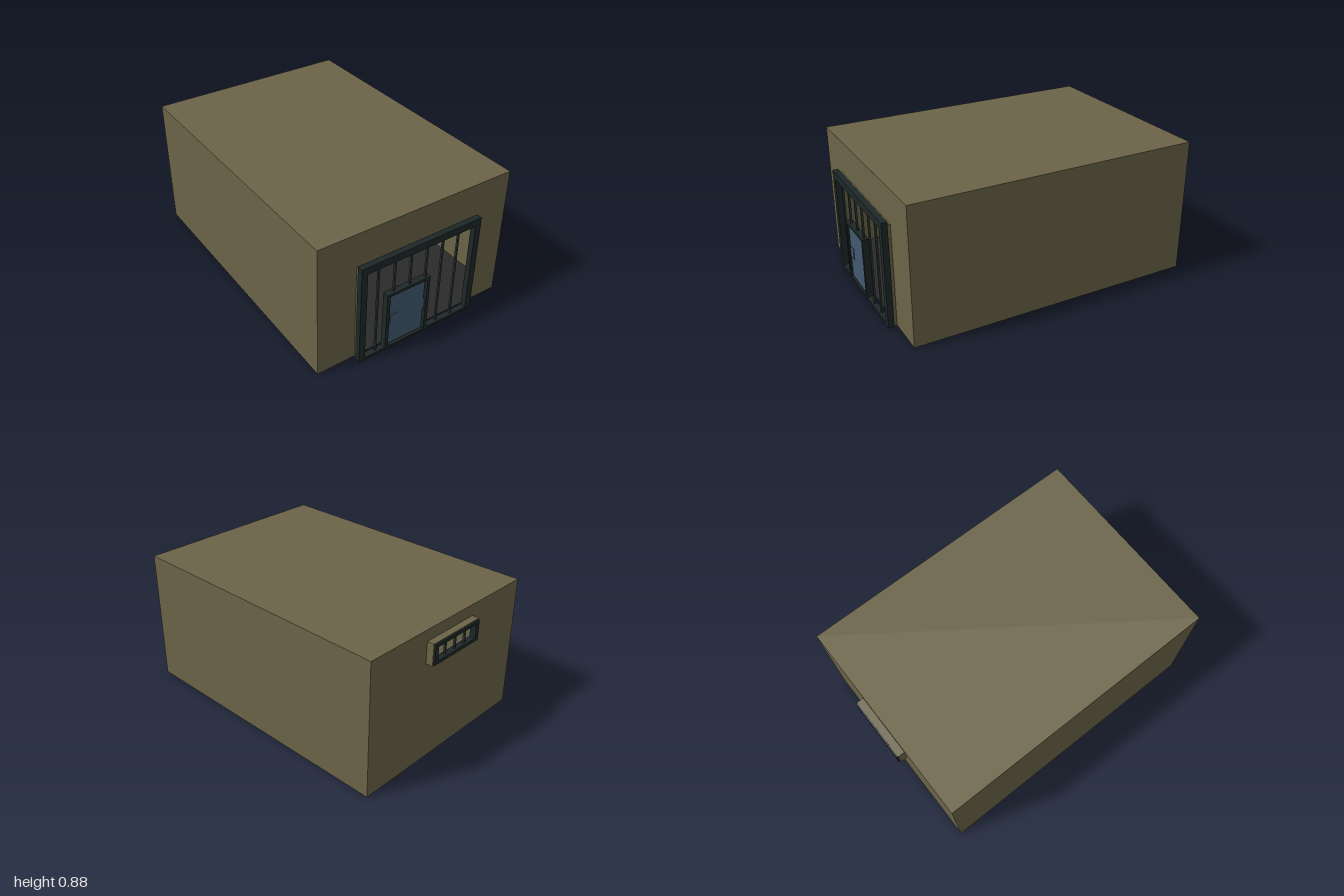
import * as THREE from 'three';

const mat = (color) => new THREE.MeshStandardMaterial({ color, side: THREE.DoubleSide });
const wallMat = mat(0x6b6448);
const floorMat = mat(0x2a2a2a);
const ironMat = mat(0x1e2727);
const barMat = mat(0x2c3634);
const doorMat = mat(0x435a70);

const W = 0.675, H = 0.885, ZF = 0.94, ZB = -0.945;

// Rectangle outline usable as a shape or a hole
function rect(Type, x0, y0, x1, y1) {
  const p = new Type();
  p.moveTo(x0, y0);
  p.lineTo(x1, y0);
  p.lineTo(x1, y1);
  p.lineTo(x0, y1);
  p.closePath();
  return p;
}

// Mesh added to a parent
function add(parent, name, geometry, material) {
  const m = new THREE.Mesh(geometry, material);
  m.name = name;
  parent.add(m);
  return m;
}

// Box given by its limits
function box(parent, name, material, [x0, x1], [y0, y1], [z0, z1]) {
  const m = add(parent, name, new THREE.BoxGeometry(x1 - x0, y1 - y0, z1 - z0), material);
  m.position.set((x0 + x1) / 2, (y0 + y1) / 2, (z0 + z1) / 2);
  return m;
}

// Rectangular ring: outer and inner limits as [x0, y0, x1, y1], extruded from z0 to z1
function ring(parent, name, material, outer, inner, z0, z1) {
  const s = rect(THREE.Shape, ...outer);
  s.holes.push(rect(THREE.Path, ...inner));
  const g = new THREE.ExtrudeGeometry(s, { depth: z1 - z0, bevelEnabled: false });
  add(parent, name, g, material).position.z = z0;
}

export function createModel() {
  const model = new THREE.Group();
  model.name = 'barredCell';

  // Thin room shell
  const room = new THREE.Group();
  room.name = 'room';
  model.add(room);
  const depth = ZF - ZB, mid = (ZF + ZB) / 2;
  for (const s of [-1, 1]) {
    const side = add(room, s > 0 ? 'leftWall' : 'rightWall', new THREE.PlaneGeometry(depth, H), wallMat);
    side.rotation.y = s * Math.PI / 2;
    side.position.set(s * W, H / 2, mid);
  }
  const roof = add(room, 'roof', new THREE.PlaneGeometry(2 * W, depth), wallMat);
  roof.rotation.x = -Math.PI / 2;
  roof.position.set(0, H, mid);
  const floor = add(room, 'floor', new THREE.PlaneGeometry(2 * W, depth), floorMat);
  floor.rotation.x = -Math.PI / 2;
  floor.position.set(0, 0, mid);

  // Front wall with a doorway reaching the floor
  const front = new THREE.Shape();
  [[-W, 0], [-0.415, 0], [-0.415, 0.66], [0.415, 0.66], [0.415, 0], [W, 0], [W, H], [-W, H]]
    .forEach(([x, y], i) => (i ? front.lineTo(x, y) : front.moveTo(x, y)));
  add(room, 'frontWall', new THREE.ShapeGeometry(front), wallMat).position.z = ZF;

  // Back wall with a window opening
  const back = rect(THREE.Shape, -W, 0, W, H);
  back.holes.push(rect(THREE.Path, -0.205, 0.673, 0.205, 0.805));
  const backWall = add(room, 'backWall', new THREE.ShapeGeometry(back), wallMat);
  backWall.rotation.y = Math.PI;
  backWall.position.z = ZB;

  // Front reveal, iron frame and bars
  const gate = new THREE.Group();
  gate.name = 'gate';
  model.add(gate);
  for (const s of [-1, 1])
    box(gate, 'revealSide', wallMat, s > 0 ? [0.415, 0.42] : [-0.42, -0.415], [0, 0.665], [ZF, 0.965]);
  box(gate, 'revealTop', wallMat, [-0.415, 0.415], [0.66, 0.665], [ZF, 0.965]);
  ring(gate, 'gateFrame', ironMat, [-0.428, 0, 0.428, 0.685], [-0.386, 0.016, 0.386, 0.637], 0.96, 0.997);
  for (let i = 0; i < 6; i++) {
    const x = -0.3 + i * 0.1145;
    const overDoor = x > -0.24 && x < 0.07;
    box(gate, 'gateBar', barMat, [x - 0.006, x + 0.006], [overDoor ? 0.405 : 0.01, 0.645], [0.972, 0.984]);
  }

  // Door with its frame, lock plate and bolt
  const door = new THREE.Group();
  door.name = 'door';
  model.add(door);
  ring(door, 'doorFrame', ironMat, [-0.242, 0, 0.07, 0.414], [-0.22, 0.016, 0.048, 0.396], 0.958, 0.998);
  box(door, 'doorPanel', doorMat, [-0.212, 0.038], [0.025, 0.39], [0.97, 0.988]);
  box(door, 'lockBolt', doorMat, [0.034, 0.05], [0.172, 0.245], [0.972, 0.986]);
  box(door, 'lockPlate', doorMat, [-0.208, -0.15], [0.172, 0.245], [0.986, 0.992]);

  // Rear window: sleeve, iron frame and bars
  const win = new THREE.Group();
  win.name = 'rearWindow';
  model.add(win);
  ring(win, 'windowSleeve', wallMat, [-0.21, 0.668, 0.21, 0.81], [-0.204, 0.674, 0.204, 0.804], -0.99, ZB);
  ring(win, 'windowFrame', ironMat, [-0.204, 0.674, 0.204, 0.804], [-0.175, 0.695, 0.175, 0.784], -1, -0.96);
  for (const x of [-0.09, 0, 0.09])
    box(win, 'windowBar', barMat, [x - 0.006, x + 0.006], [0.69, 0.79], [-0.986, -0.974]);

  return model;
}
